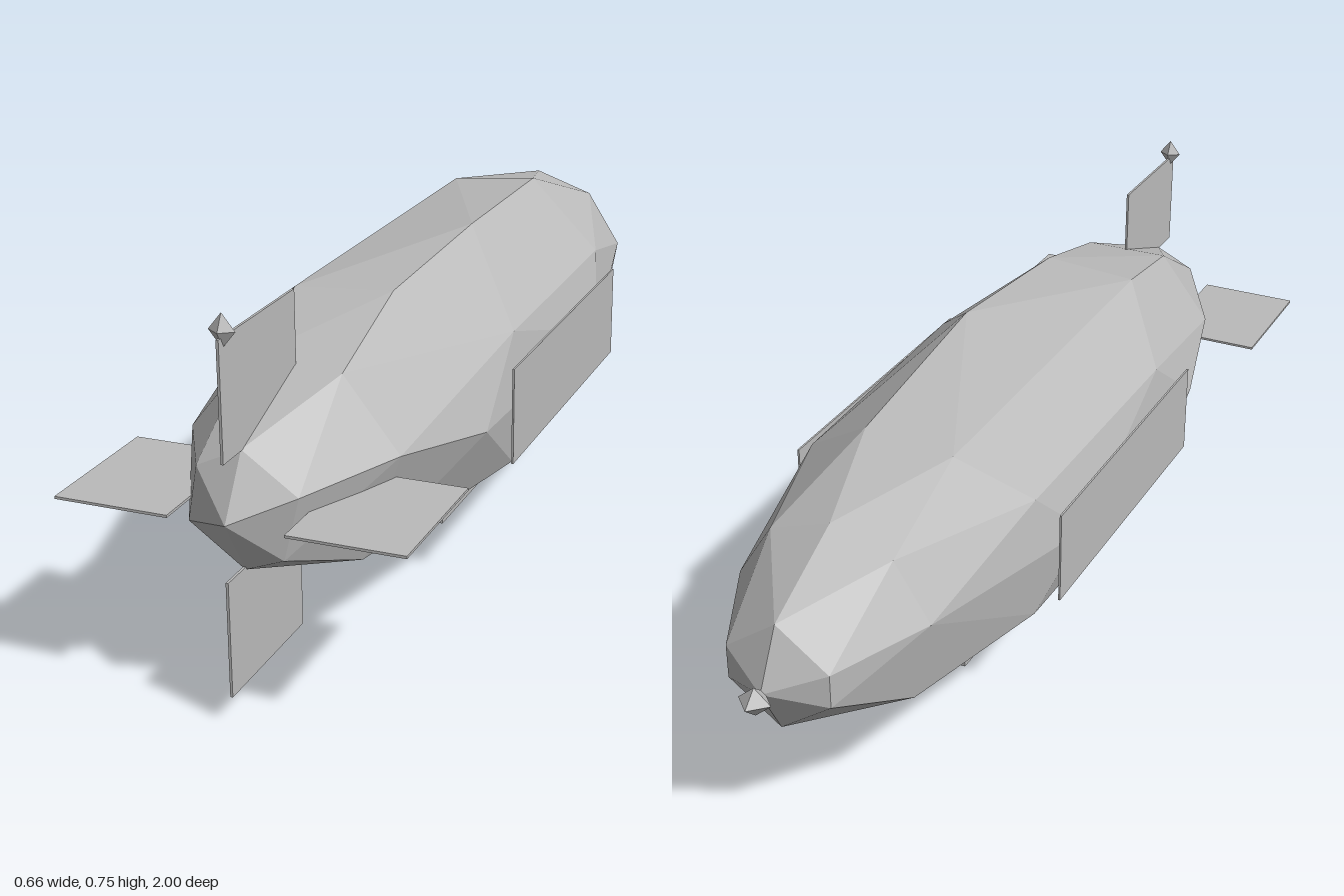
import * as THREE from 'three';
import { ConvexGeometry } from 'three/addons/geometries/ConvexGeometry.js';

const hullGrey = new THREE.MeshStandardMaterial({ color: 0xbababa });
hullGrey.name = 'hullGrey';

const AXIS_Y = 0.376; // height of the envelope axis

export function createModel() {
  const model = new THREE.Group();
  model.name = 'airship';

  function add(name, geometry, x, y, z) {
    const mesh = new THREE.Mesh(geometry, hullGrey);
    mesh.name = name;
    mesh.position.set(x, y, z);
    model.add(mesh);
    return mesh;
  }
  const box = (name, w, h, d, x, y, z) => add(name, new THREE.BoxGeometry(w, h, d), x, y, z);

  // Envelope: faceted ellipsoid, each ring is [z, angles in degrees]
  const rings = [
    [0.93, [20, 90, 141, 199, 270, 312]],
    [0.72, [13, 63, 116, 167, 212, 243, 308]],
    [0.45, [0, 72, 116, 180, 244, 284]],
    [0.26, [28, 152, 208, 332]],
    [0.06, [71, 289]],
    [-0.2, [0, 180]],
    [-0.34, [28, 152, 208, 332]],
    [-0.43, [75, 116, 244, 285]],
    [-0.69, [13, 52, 90, 128, 167, 218, 270, 322]],
    [-0.89, [18, 90, 162, 198, 270, 342]],
  ];
  const points = [new THREE.Vector3(0, 0, 1), new THREE.Vector3(0, 0, -0.95)];
  for (const [z, angles] of rings) {
    const radius = 0.303 * Math.sqrt(1 - ((z - 0.02) / 0.98) ** 2);
    for (const degrees of angles) {
      const a = THREE.MathUtils.degToRad(degrees);
      points.push(new THREE.Vector3(radius * Math.cos(a), radius * Math.sin(a), z));
    }
  }
  add('envelope', new ConvexGeometry(points), 0, AXIS_Y, 0);

  // Tail fins in a cross, and flat panels along the flanks
  for (const side of [-1, 1]) {
    const word = side > 0 ? 'left' : 'right';
    box(side > 0 ? 'upperFin' : 'lowerFin', 0.005, 0.22, 0.29, 0, AXIS_Y + 0.003 + side * 0.219, 0.855);
    box(word + 'Fin', 0.22, 0.005, 0.29, side * 0.22, AXIS_Y, 0.855);
    box(word + 'SidePanel', 0.004, 0.196, 0.685, side * 0.294, 0.377, 0.02);
  }

  // Gondola under the belly
  box('gondola', 0.106, 0.082, 0.37, 0, 0.041, -0.077);

  // Small faceted beacons at the nose and on top of the upper fin
  const gem = new THREE.OctahedronGeometry(1);
  add('noseBeacon', gem, 0, 0.374, -0.968).scale.set(0.034, 0.03, 0.032);
  add('finBeacon', gem, 0, 0.719, 0.982).scale.set(0.025, 0.031, 0.017);

  return model;
}
